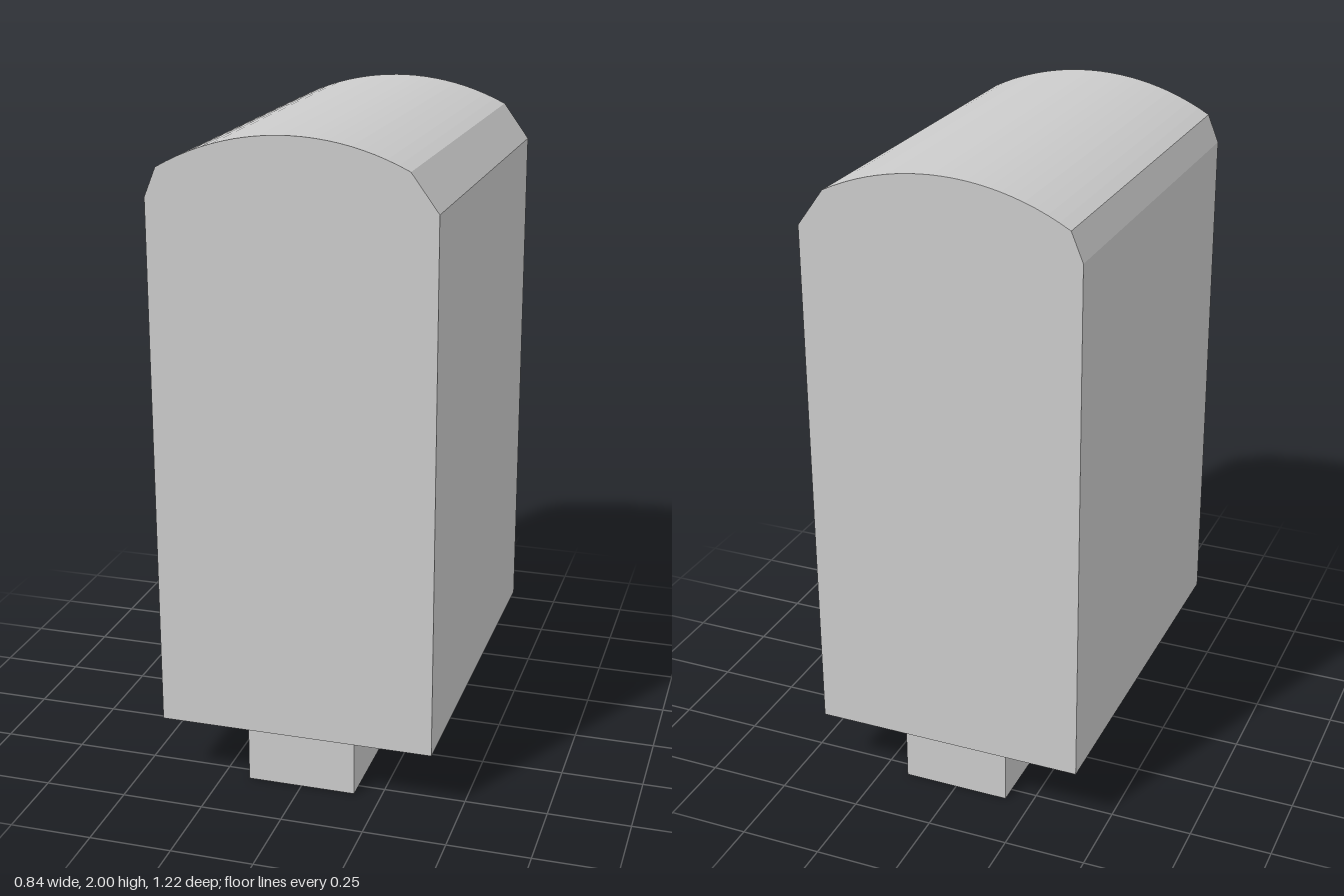
import * as THREE from 'three';

export function createModel() {
  const group = new THREE.Group();
  const material = new THREE.MeshStandardMaterial({ color: 0xcccccc, flatShading: true });

  // Body: straight sides, uneven shoulders and a shallow arched top
  const radius = 0.76, depth = 1.22, steps = 22;
  const arcY = (x) => 2 - radius + Math.sqrt(radius * radius - x * x);
  const profile = new THREE.Shape();
  profile.moveTo(-0.42, 0.2);
  profile.lineTo(0.42, 0.2);
  profile.lineTo(0.42, 1.81);
  const start = 0.34, end = -0.385;
  for (let i = 0; i <= steps; i++) {
    const x = start + (end - start) * (i / steps);
    profile.lineTo(x, arcY(x));
  }
  profile.lineTo(-0.42, 1.81);
  profile.closePath();
  const bodyGeometry = new THREE.ExtrudeGeometry(profile, { depth, bevelEnabled: false });
  bodyGeometry.translate(0, 0, -depth / 2);
  const body = new THREE.Mesh(bodyGeometry, material);
  body.name = 'body';
  group.add(body);

  // Narrow foot running under the body
  const foot = new THREE.Mesh(new THREE.BoxGeometry(0.335, 0.2, 1.1), material);
  foot.name = 'foot';
  foot.position.set(0, 0.1, 0);
  group.add(foot);

  return group;
}
